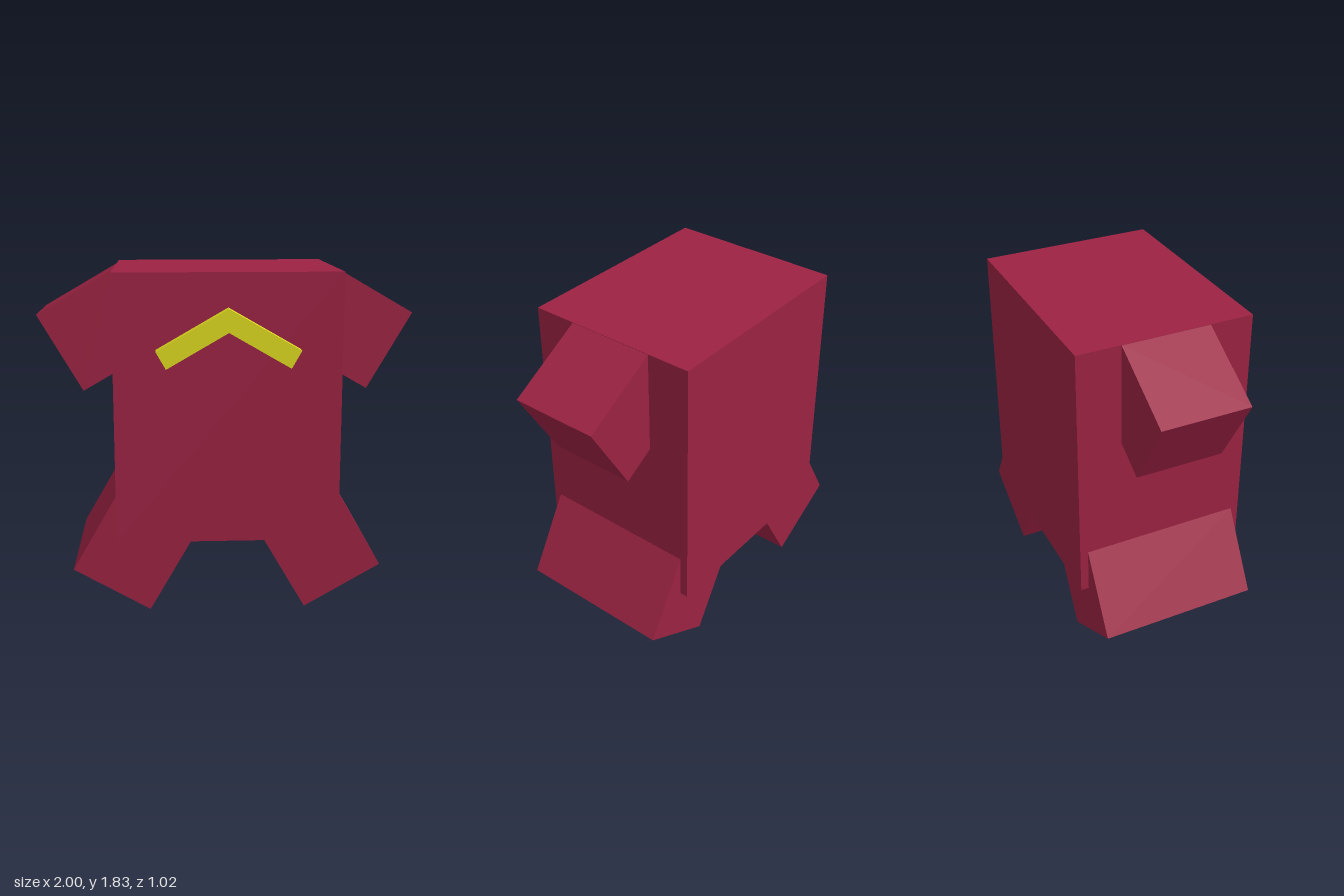
import * as THREE from 'three';

const red = new THREE.MeshStandardMaterial({ color: 0x9b2242 });
const yellow = new THREE.MeshStandardMaterial({ color: 0xdcd81e });
const MID_Z = -0.035; // depth centre shared by torso and limbs

function block(name, size, position, tilt = 0) {
  const mesh = new THREE.Mesh(new THREE.BoxGeometry(...size), red);
  mesh.name = name;
  mesh.position.set(...position);
  mesh.rotation.z = tilt;
  return mesh;
}

export function createModel() {
  const model = new THREE.Group();
  model.name = 'blockFigure';

  model.add(block('torso', [1.186, 1.425, 0.947], [0, 1.113, MID_Z]));

  // Arms slope down and outwards, legs splay outwards
  for (const [side, s] of [['left', 1], ['right', -1]]) {
    model.add(block(side + 'Arm', [0.473, 0.473, 0.475], [s * 0.677, 1.502, MID_Z], -s * Math.PI / 6));
    model.add(block(side + 'Leg', [0.473, 0.473, 0.86], [s * 0.507, 0.323, MID_Z], s * Math.PI / 6));
  }

  // Raised chevron on the chest
  const chevron = new THREE.Shape([
    [0, 1.527], [0.32, 1.342], [0.372, 1.434], [0, 1.648], [-0.372, 1.434], [-0.32, 1.342],
  ].map(([x, y]) => new THREE.Vector2(x, y)));
  const badge = new THREE.Mesh(new THREE.ExtrudeGeometry(chevron, { depth: 0.08, bevelEnabled: false }), yellow);
  badge.name = 'chestChevron';
  badge.position.z = 0.428;
  model.add(badge);

  return model;
}
